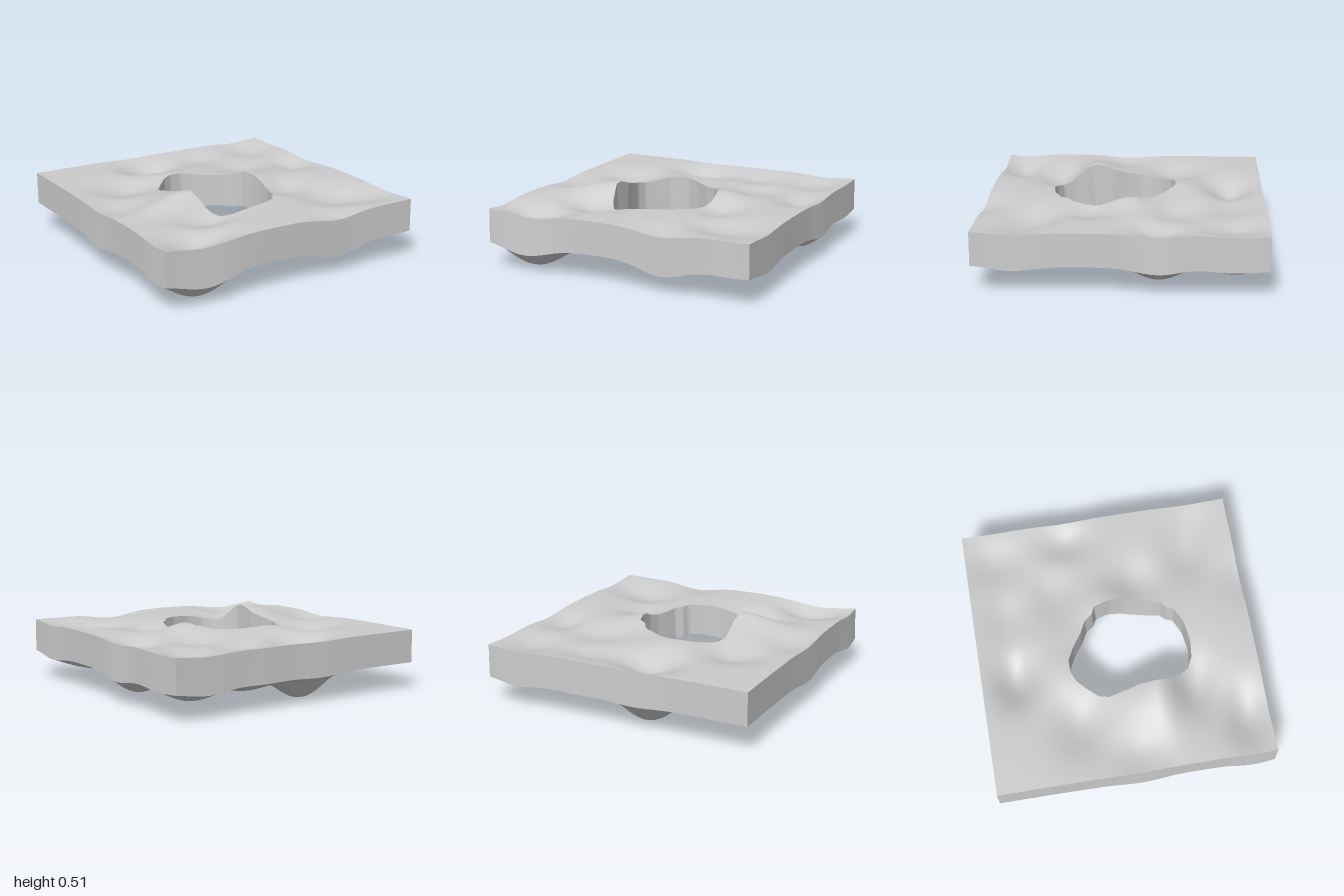
import * as THREE from 'three';

const PER_SIDE = 48, AROUND = PER_SIDE * 4, RINGS = 36;
const CENTRE = [-0.05, 0.07];
const FLARE = 0.05; // how far the underside leans out along the slope

// Level of each face, and how strongly dents and swells show in it
const TOP = { base: 0.432, dent: 0.55, swell: 1 };
const UNDER = { base: 0.2, dent: 1, swell: 0.2 };

// Dents (negative) and swells: x, z, amount, spread in x, spread in z
const BUMPS = [
  [-0.69, 0.82, -0.175, 0.17, 0.11], [-0.16, -0.75, -0.19, 0.14, 0.11],
  [0.3, -0.75, -0.09, 0.17, 0.12], [0.75, -0.77, -0.1, 0.13, 0.15],
  [-0.57, -0.35, -0.12, 0.16, 0.13], [0.45, -0.4, -0.1, 0.16, 0.13],
  [0.83, -0.26, -0.12, 0.1, 0.13], [-0.85, 0.02, -0.07, 0.12, 0.14],
  [-0.41, 0.49, -0.14, 0.17, 0.12], [0.43, 0.23, -0.1, 0.13, 0.13],
  [0.59, 0.6, -0.11, 0.15, 0.13], [0.82, 0.7, -0.06, 0.13, 0.13],
  [0.35, 0.98, -0.075, 0.14, 0.13], [-0.38, 0.26, 0.085, 0.22, 0.1],
  [0.3, -0.03, 0.045, 0.12, 0.12], [-0.2, -0.36, 0.025, 0.14, 0.12],
  [-0.42, 0.08, 0.03, 0.14, 0.12],
];

// Irregular outline of the opening (x, z)
const HOLE = [
  [0.31, 0.1], [0.295, 0.2], [0.24, 0.36], [0.19, 0.4], [0.17, 0.45], [0.06, 0.5],
  [-0.08, 0.52], [-0.2, 0.51], [-0.28, 0.47], [-0.33, 0.39], [-0.37, 0.27],
  [-0.37, 0.1], [-0.39, 0], [-0.41, -0.12], [-0.39, -0.19], [-0.32, -0.27],
  [-0.26, -0.33], [-0.19, -0.36], [-0.1, -0.36], [0, -0.31], [0.1, -0.24],
  [0.18, -0.2], [0.22, -0.14], [0.27, -0.12], [0.3, 0],
];

function height(x, z, { base, dent, swell }) {
  return BUMPS.reduce((y, [bx, bz, a, sx, sz]) =>
    y + a * (a < 0 ? dent : swell)
      * Math.exp(-(((x - bx) / sx) ** 2 + ((z - bz) / sz) ** 2) / 2), base);
}

// Where a ray from the centre crosses the opening
function holePoint(dx, dz) {
  for (let i = 0; i < HOLE.length; i++) {
    const a = HOLE[i], b = HOLE[(i + 1) % HOLE.length];
    const ax = a[0] - CENTRE[0], az = a[1] - CENTRE[1];
    const ex = b[0] - a[0], ez = b[1] - a[1];
    const det = dx * ez - dz * ex;
    const t = (ax * ez - az * ex) / det, s = (ax * dz - az * dx) / det;
    if (t > 0 && s >= -1e-9 && s <= 1 + 1e-9) return [CENTRE[0] + dx * t, CENTRE[1] + dz * t];
  }
  return [...CENTRE];
}

// Point i along the square rim, running from +x towards +z
function rimPoint(i) {
  const side = Math.floor(i / PER_SIDE) % 4, s = -0.98 + 1.96 * (i % PER_SIDE) / PER_SIDE;
  const [x, z] = [[0.98, s], [-s, 0.98], [-0.98, -s], [s, -0.98]][side];
  return [x, z - 0.01];
}

// Point on the top or underside, ring j running from the opening to the rim
function slabPoint(i, j, below) {
  const o = rimPoint(i % AROUND);
  const h = holePoint(o[0] - CENTRE[0], o[1] - CENTRE[1]);
  const k = j / RINGS;
  const x = h[0] + (o[0] - h[0]) * k, z = h[1] + (o[1] - h[1]) * k;
  if (!below) return new THREE.Vector3(x, height(x, z, TOP), z);
  const e = 0.002;
  const slopeX = (height(x + e, z, TOP) - height(x - e, z, TOP)) / (2 * e);
  const slopeZ = (height(x, z + e, TOP) - height(x, z - e, TOP)) / (2 * e);
  return new THREE.Vector3(x + FLARE * slopeX, height(x, z, UNDER), z + FLARE * slopeZ);
}

// Grid surface facing along (u step) x (v step); closed grids share the seam
function gridMesh(name, nu, nv, closed, point, flip = false) {
  const pos = [], index = [], cols = closed ? nu : nu + 1;
  for (let v = 0; v <= nv; v++)
    for (let u = 0; u < cols; u++) pos.push(...point(u, v).toArray());
  for (let v = 0; v < nv; v++)
    for (let u = 0; u < nu; u++) {
      const w = (u + 1) % cols;
      const a = v * cols + u, b = v * cols + w, c = a + cols, d = b + cols;
      if (flip) index.push(a, c, b, b, c, d);
      else index.push(a, b, c, b, d, c);
    }
  const geo = new THREE.BufferGeometry();
  geo.setAttribute('position', new THREE.Float32BufferAttribute(pos, 3));
  geo.setIndex(index);
  geo.computeVertexNormals();
  const mesh = new THREE.Mesh(geo, new THREE.MeshStandardMaterial({ color: 0xcccccc }));
  mesh.name = name;
  return mesh;
}

export function createModel() {
  const group = new THREE.Group();
  group.name = 'rockSlab';

  // Rippled top and underside
  group.add(gridMesh('topSurface', AROUND, RINGS, true, (u, v) => slabPoint(u, v, false)));
  group.add(gridMesh('underside', AROUND, RINGS, true, (u, v) => slabPoint(u, v, true), true));

  // Four outer walls with sharp corners (left is +x)
  ['leftWall', 'frontWall', 'rightWall', 'backWall'].forEach((name, s) =>
    group.add(gridMesh(name, PER_SIDE, 1, false,
      (u, v) => slabPoint(s * PER_SIDE + u, RINGS, v === 1))));

  // Wall of the opening
  group.add(gridMesh('holeWall', AROUND, 1, true, (u, v) => slabPoint(u, 0, v === 0)));

  // Rest the lowest point on the ground
  group.position.y = -new THREE.Box3().setFromObject(group).min.y;
  return group;
}
